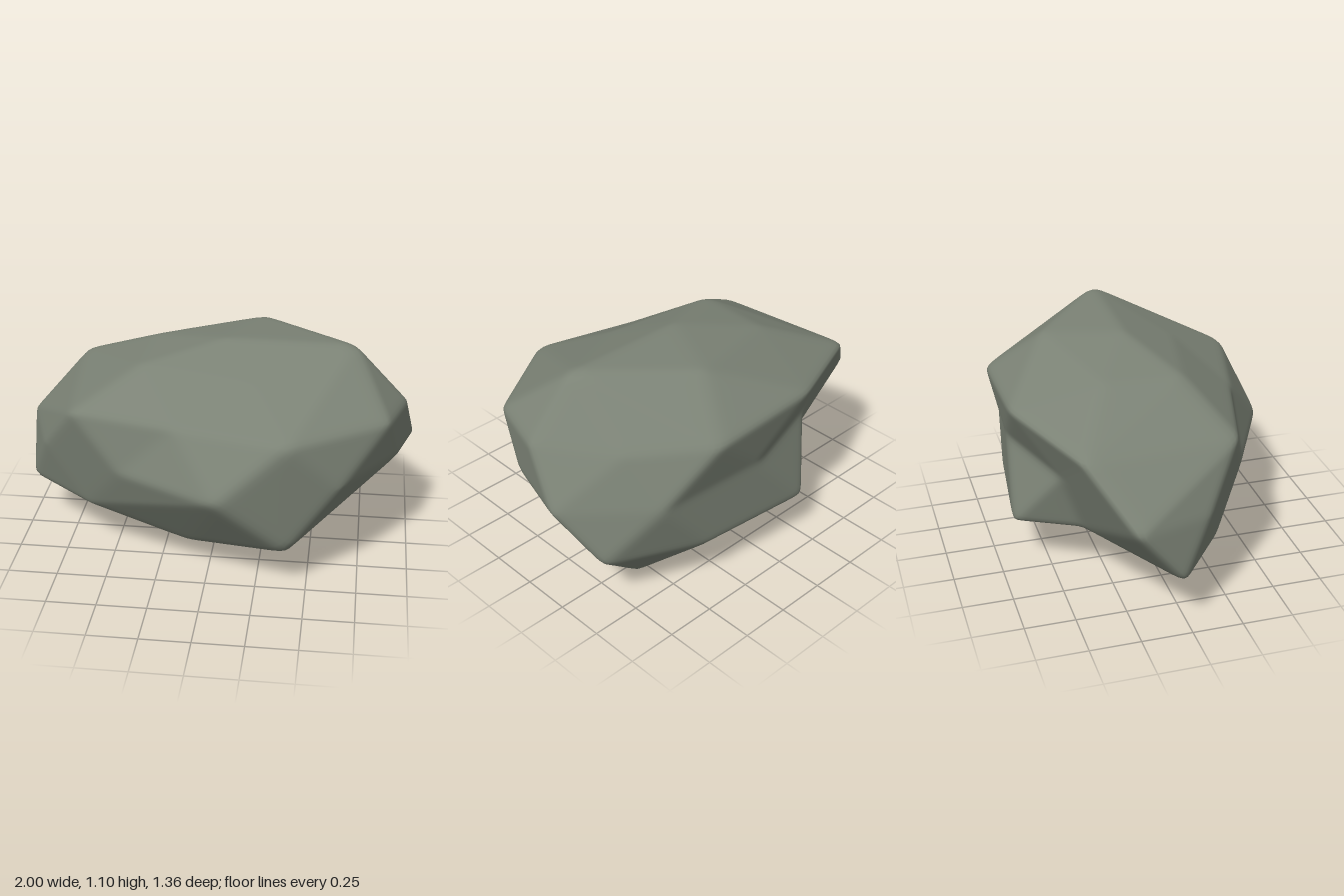
import * as THREE from 'three';
import { mergeVertices } from 'three/addons/utils/BufferGeometryUtils.js';
import { ConvexGeometry } from 'three/addons/geometries/ConvexGeometry.js';

// Corners of the boulder
const CORNERS = [
  // front
  [0.07, 0.55, 0.69], [0.4, 0.83, 0.6], [0.4, 0.24, 0.555], [-0.43, 0.55, 0.43],
  [-0.68, 0.815, 0.31], [0.65, 0.57, 0.49], [-0.1, 0.14, 0.33], [-0.63, 0.265, 0.23],
  // top
  [-0.36, 1.01, 0.14], [0.2, 0.985, 0.26], [0.05, 1.1, -0.04],
  [0.69, 1.1, -0.03], [0.22, 1.075, -0.42], [-0.34, 1.015, -0.25],
  // +x end
  [0.87, 0.835, 0.29], [0.96, 0.815, -0.03], [0.92, 0.58, 0.12], [1.01, 0.55, -0.23],
  [0.88, 0.29, -0.43], [0.71, 0.82, -0.4],
  // -x end
  [-0.98, 0.27, -0.04], [-1.01, 0.56, -0.27], [-0.87, 0.54, 0.12], [-0.76, 0.825, -0.455],
  // back
  [0.37, 0.85, -0.69], [-0.22, 0.265, -0.69], [-0.23, 0.875, -0.685], [0.38, 0.26, -0.625],
  [0.64, 0.57, -0.59],
  // underside
  [0.05, -0.01, -0.03], [0.58, 0, -0.31], [0.47, 0.11, 0.14],
];

// Dents: a corner on the hull, then where it is pushed in to
const DENTS = [
  { from: [-0.43, 0.6, -0.69], to: [-0.43, 0.6, -0.49] }, // back, -x side
  { from: [0.08, 0.6, -0.74], to: [0.08, 0.6, -0.65] }, // back, middle
  { from: [-0.5, 0.18, -0.5], to: [-0.42, 0.29, -0.38] }, // back, low
  { from: [0.16, 0.1, -0.5], to: [0.13, 0.15, -0.37] }, // underside
  { from: [-0.15, 0.82, 0.6], to: [-0.15, 0.825, 0.46] }, // front
];

const vec = (p) => new THREE.Vector3(...p);

// Split every triangle into four
function subdivide(geometry) {
  const { position } = geometry.toNonIndexed().attributes;
  const points = [];
  for (let i = 0; i < position.count; i += 3) {
    const [a, b, c] = [0, 1, 2].map((k) => new THREE.Vector3().fromBufferAttribute(position, i + k));
    const ab = a.clone().lerp(b, 0.5), bc = b.clone().lerp(c, 0.5), ca = c.clone().lerp(a, 0.5);
    points.push(a, ab, ca, ab, b, bc, ca, bc, c, ab, bc, ca);
  }
  return mergeVertices(new THREE.BufferGeometry().setFromPoints(points), 1e-4);
}

// Wear the edges by drawing each vertex towards its neighbours
function soften(geometry, amount) {
  const { position } = geometry.attributes;
  const near = Array.from({ length: position.count }, () => new Set());
  const index = geometry.index.array;
  for (let i = 0; i < index.length; i += 3) {
    for (let k = 0; k < 3; k++) {
      near[index[i + k]].add(index[i + (k + 1) % 3]).add(index[i + (k + 2) % 3]);
    }
  }
  const old = near.map((_, i) => new THREE.Vector3().fromBufferAttribute(position, i));
  near.forEach((set, i) => {
    const mean = new THREE.Vector3();
    set.forEach((j) => mean.addScaledVector(old[j], 1 / set.size));
    mean.lerp(old[i], 1 - amount);
    position.setXYZ(i, mean.x, mean.y, mean.z);
  });
}

export function createModel() {
  const stone = new THREE.MeshStandardMaterial({ color: 0x7b8275 });
  stone.name = 'stone';

  // Hull of the corners, with the dents pushed in
  const hull = new ConvexGeometry([...CORNERS, ...DENTS.map((d) => d.from)].map(vec));
  const { position } = hull.attributes;
  for (let i = 0; i < position.count; i++) {
    const p = new THREE.Vector3().fromBufferAttribute(position, i);
    const dent = DENTS.find((d) => vec(d.from).distanceTo(p) < 1e-4);
    if (dent) position.setXYZ(i, ...dent.to);
  }
  hull.deleteAttribute('normal');

  // Faceted faces with narrow worn edges
  let geometry = mergeVertices(hull, 1e-4);
  for (let i = 0; i < 4; i++) geometry = subdivide(geometry);
  for (let i = 0; i < 3; i++) soften(geometry, 0.5);
  geometry.computeVertexNormals();

  // Stand it on the ground
  geometry.center();
  geometry.computeBoundingBox();
  geometry.translate(0, -geometry.boundingBox.min.y, 0);

  const boulder = new THREE.Mesh(geometry, stone);
  boulder.name = 'boulder';
  const group = new THREE.Group();
  group.name = 'rock';
  group.add(boulder);
  return group;
}
